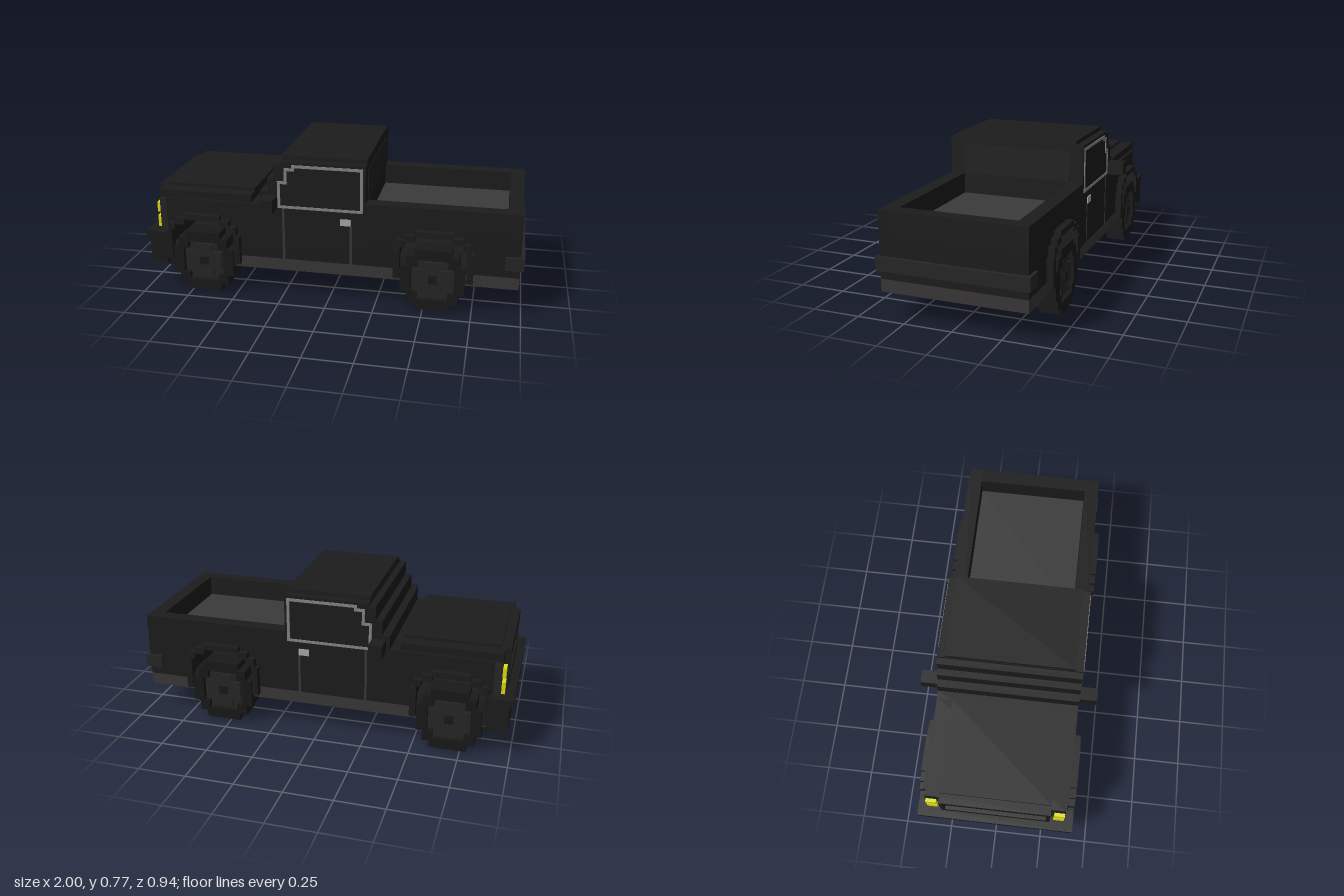
import * as THREE from 'three';

const paint = (color) => new THREE.MeshStandardMaterial({ color });
const black = paint(0x1c1c1c), tyreMat = paint(0x191919), rimMat = paint(0x262626), sillMat = paint(0x393737);
const bedMat = paint(0x3a3a3a), trimMat = paint(0x858585), handleMat = paint(0xaaaaaa);
const lampMat = paint(0xe0e010), redMat = paint(0x4a1010), glassMat = paint(0x202020);

export function createModel() {
  const truck = new THREE.Group();
  truck.name = 'pickupTruck';

  // Box given by its limits on each axis
  function box(name, mat, x0, x1, y0, y1, z0, z1, parent = truck) {
    const m = new THREE.Mesh(new THREE.BoxGeometry(x1 - x0, y1 - y0, z1 - z0), mat);
    m.position.set((x0 + x1) / 2, (y0 + y1) / 2, (z0 + z1) / 2);
    m.name = name;
    parent.add(m);
    return m;
  }
  // Side outline extruded between two z limits
  function slab(name, mat, pts, z0, z1, holes = [], parent = truck) {
    const shape = new THREE.Shape(pts.map((p) => new THREE.Vector2(...p)));
    for (const h of holes) shape.holes.push(new THREE.Path(h.map((p) => new THREE.Vector2(...p))));
    const geo = new THREE.ExtrudeGeometry(shape, { depth: z1 - z0, bevelEnabled: false });
    const m = new THREE.Mesh(geo, mat);
    m.position.z = z0;
    m.name = name;
    parent.add(m);
    return m;
  }
  // Stepped arch: rows of [half width, top], going up from y0
  function arch(cx, y0, rows) {
    const right = [];
    let y = y0;
    for (const [w, top] of rows) {
      right.push([w, y], [w, top]);
      y = top;
    }
    return [...right.map(([w, h]) => [cx + w, h]), ...right.reverse().map(([w, h]) => [cx - w, h])];
  }
  // Stepped disc, symmetrical in both directions
  function disc(rows) {
    const up = arch(0, 0, rows);
    const down = up.map(([x, y]) => [x, -y]).reverse();
    return [...up, ...down].filter((p) => p[1] !== 0);
  }

  const axles = [-0.685, 0.545];
  const well = [[0.185, 0.34], [0.165, 0.37], [0.095, 0.4]];
  const W = 0.375;

  // Lower body with wheel wells running through it
  slab('lowerBody', black, [[-0.89, 0.205], [0.98, 0.205], [0.98, 0.43], [-0.89, 0.43]], -W, W,
    axles.map((cx) => arch(cx, 0.24, well)));
  box('sill', sillMat, -0.87, 0.98, 0.14, 0.205, -W, W);
  box('undertray', tyreMat, -0.87, 0.9, 0.13, 0.19, -0.3, 0.3);

  // Front fenders and bonnet
  box('fenderTop', black, -0.89, -0.36, 0.43, 0.505, -W, W);
  box('bonnetBase', black, -0.93, -0.42, 0.5, 0.545, -0.36, 0.36);
  box('bonnetPanel', black, -0.91, -0.42, 0.54, 0.56, -0.285, 0.285);

  // Nose, grille and lamps
  box('nose', rimMat, -0.93, -0.88, 0.29, 0.5, -0.365, 0.365);
  box('grille', tyreMat, -0.94, -0.92, 0.36, 0.5, -0.27, 0.27);
  for (const [y0, y1] of [[0.32, 0.36], [0.5, 0.545]]) box('grilleBar', black, -0.96, -0.92, y0, y1, -0.285, 0.285);
  box('grilleAccent', redMat, -0.945, -0.93, 0.445, 0.465, -0.1, 0.1);
  for (const s of [-1, 1]) {
    const side = (name, mat, x0, x1, y0, y1, a, b) =>
      box(name, mat, x0, x1, y0, y1, Math.min(s * a, s * b), Math.max(s * a, s * b));
    side('grillePost', black, -0.96, -0.92, 0.36, 0.5, 0.265, 0.285);
    side('headlamp', lampMat, -0.948, -0.925, 0.33, 0.395, 0.305, 0.36);
    side('headlamp', lampMat, -0.948, -0.925, 0.415, 0.47, 0.305, 0.36);

    // Bed walls, mirrors and door fittings
    side('bedWall', black, 0.19, 0.98, 0.43, 0.545, 0.3, W);
    side('mirror', black, -0.345, -0.275, 0.49, 0.56, W - 0.01, 0.468);
    side('frontDoorSeam', sillMat, -0.25, -0.237, 0.205, 0.5, W - 0.01, W + 0.002);
    side('rearDoorSeam', sillMat, 0.108, 0.121, 0.205, 0.42, W - 0.01, W + 0.002);
    side('doorHandle', handleMat, 0.06, 0.115, 0.42, 0.455, W - 0.01, W + 0.006);
  }

  // Bumpers
  box('frontBumper', black, -0.98, -0.89, 0.14, 0.32, -0.41, 0.41);
  box('frontBumperLip', black, -1, -0.96, 0.288, 0.322, -0.41, 0.41);
  box('frontValance', tyreMat, -0.925, -0.86, 0.097, 0.2, -0.34, 0.34);
  box('rearBumper', rimMat, 0.905, 1, 0.25, 0.32, -0.39, 0.39);

  // Load bed
  box('bedFloor', bedMat, 0.18, 0.91, 0.415, 0.435, -0.305, 0.305);
  box('tailgate', black, 0.905, 0.98, 0.43, 0.545, -0.3, 0.3);

  // Cab with stepped windscreen
  slab('cab', black, [[-0.365, 0.43], [0.19, 0.43], [0.19, 0.745], [-0.255, 0.745], [-0.255, 0.73], [-0.29, 0.73],
    [-0.29, 0.655], [-0.325, 0.655], [-0.325, 0.58], [-0.365, 0.58]], -W, W);
  box('roof', black, -0.253, 0.19, 0.74, 0.768, -0.335, 0.335);
  box('rearWindow', glassMat, 0.18, 0.193, 0.55, 0.71, -0.3, 0.3);

  // Side window trim
  const outer = [[-0.272, 0.493], [0.177, 0.493], [0.177, 0.73], [-0.195, 0.73], [-0.195, 0.712], [-0.235, 0.712],
    [-0.235, 0.64], [-0.272, 0.64]];
  const inner = [[-0.257, 0.507], [0.162, 0.507], [0.162, 0.715], [-0.18, 0.715], [-0.18, 0.697], [-0.22, 0.697],
    [-0.22, 0.625], [-0.257, 0.625]];
  for (const z of [W - 0.008, -W - 0.004]) slab('windowTrim', trimMat, outer, z, z + 0.012, [inner]);

  // Wheel arch flares: outer steps up, inner steps back down
  const flareRows = [[0.205, 0.325], [0.188, 0.375], [0.15, 0.405], [0.1, 0.43]];
  const innerRows = [[0.172, 0.34], [0.15, 0.37], [0.095, 0.4]];
  // Wheels
  const tyreOuter = disc([[0.167, 0.075], [0.135, 0.13], [0.095, 0.167]]);
  const tyreInner = disc([[0.11, 0.07], [0.08, 0.11]]);
  for (const cx of axles) {
    for (const s of [-1, 1]) {
      const z0 = s > 0 ? 0.36 : -0.41;
      slab('wheelFlare', black, [...arch(cx, 0.165, flareRows), ...arch(cx, 0.165, innerRows).reverse()], z0, z0 + 0.05);

      const wheel = new THREE.Group();
      wheel.name = 'wheel';
      wheel.position.set(cx, 0.167, 0);
      wheel.rotation.y = s > 0 ? 0 : Math.PI;
      slab('tyre', tyreMat, tyreOuter, 0.3, 0.41, [tyreInner], wheel);
      box('rim', rimMat, -0.112, 0.112, -0.112, 0.112, 0.305, 0.385, wheel);
      box('rimBar', rimMat, -0.095, 0.095, -0.05, 0.05, 0.38, 0.395, wheel);
      box('rimBar', rimMat, -0.05, 0.05, -0.095, 0.095, 0.38, 0.396, wheel);
      box('hub', tyreMat, -0.022, 0.022, -0.022, 0.022, 0.39, 0.405, wheel);
      truck.add(wheel);
    }
  }
  return truck;
}
